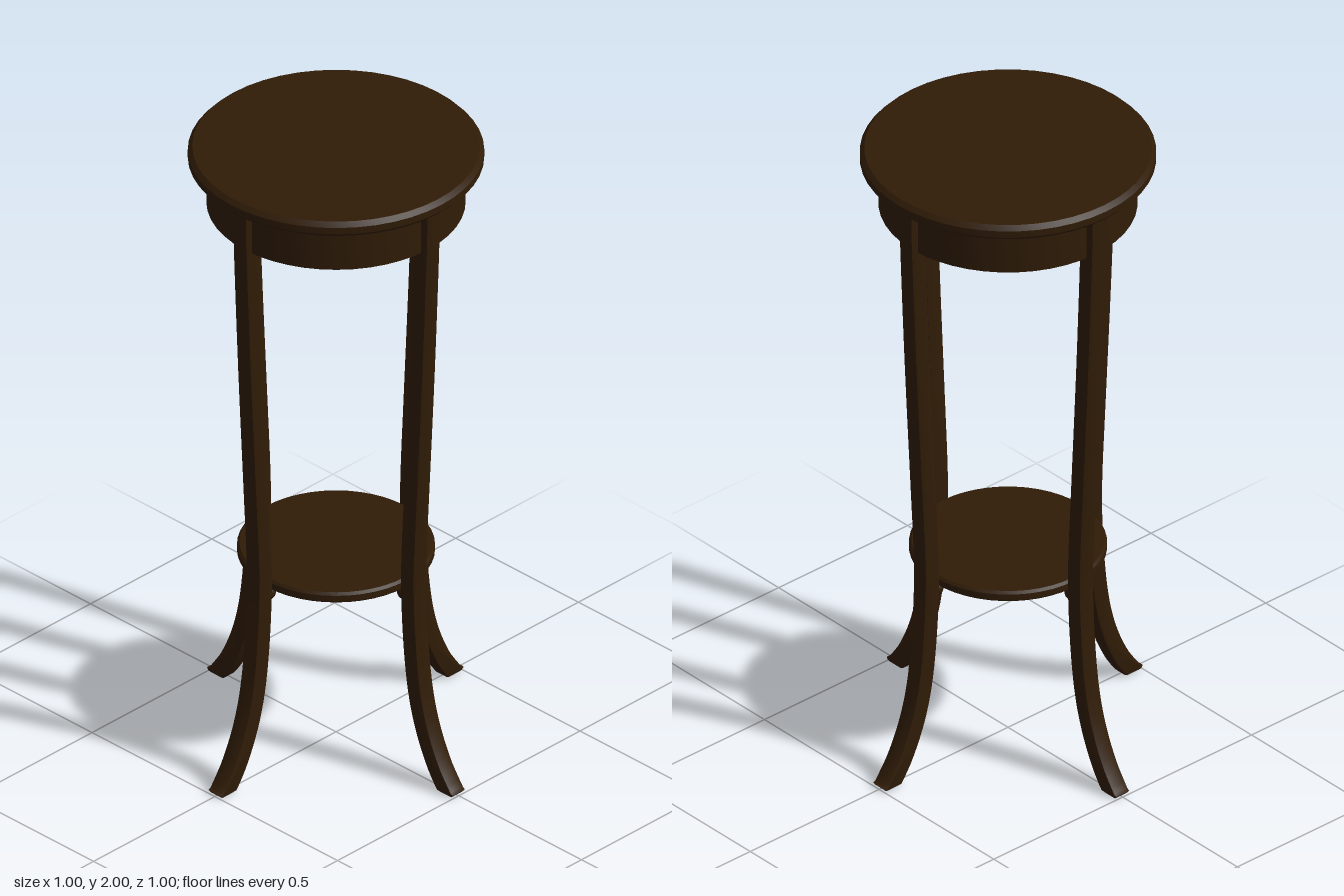
import * as THREE from 'three';
import { toCreasedNormals } from 'three/addons/utils/BufferGeometryUtils.js';

const wood = new THREE.MeshStandardMaterial({ color: 0x301c06 });
wood.name = 'dark wood';
const pad = new THREE.MeshStandardMaterial({ color: 0x6a7078 });
pad.name = 'grey foot pad';

function add(parent, name, geometry, material, x = 0, y = 0, z = 0) {
  const mesh = new THREE.Mesh(geometry, material);
  mesh.name = name;
  mesh.position.set(x, y, z);
  parent.add(mesh);
  return mesh;
}

// Turned part from [radius, height] pairs listed from bottom to top
function turned(points) {
  const profile = points.map(([r, y]) => new THREE.Vector2(r, y));
  return toCreasedNormals(new THREE.LatheGeometry(profile, 48), 0.6);
}

// Sabre leg: a curved side profile extruded to a square section with eased edges
function legGeometry() {
  const curve = new THREE.SplineCurve([
    [0.469, 0.003], [0.418, 0.08], [0.374, 0.18], [0.345, 0.29], [0.327, 0.43], [0.317, 0.6],
    [0.318, 0.75], [0.331, 1.0], [0.352, 1.4], [0.369, 1.8], [0.373, 1.957],
  ].map(([x, y]) => new THREE.Vector2(x, y)));
  const inner = [], outer = [];
  for (let i = 0; i <= 40; i++) {
    const p = curve.getPoint(i / 40);
    const half = 0.0275 / curve.getTangent(i / 40).y; // even thickness along the bend
    inner.push(new THREE.Vector2(p.x - half, p.y));
    outer.unshift(new THREE.Vector2(p.x + half, p.y));
  }
  // slightly raised toe
  outer[outer.length - 1].y = 0.012;
  outer.push(new THREE.Vector2(0.494, 0.003));
  const width = 0.055, bevel = 0.006;
  const geometry = new THREE.ExtrudeGeometry(new THREE.Shape([...outer, ...inner]), {
    depth: width - 2 * bevel, bevelEnabled: true, bevelThickness: bevel,
    bevelSize: bevel, bevelOffset: -bevel, bevelSegments: 2,
  });
  geometry.translate(0, 0, -width / 2 + bevel);
  return toCreasedNormals(geometry, 0.6);
}

export function createModel() {
  const model = new THREE.Group();
  model.name = 'plant stand';

  // Round top with chamfered rim
  add(model, 'tableTop', turned([
    [0, 1.953], [0.42, 1.953], [0.43, 1.964], [0.43, 1.986], [0.417, 2.0], [0, 2.0],
  ]), wood);

  // Apron drum below the top, closed underneath
  add(model, 'apron', turned([[0, 1.81], [0.376, 1.81], [0.376, 1.957]]), wood);

  // Lower shelf
  add(model, 'shelf', turned([
    [0, 0.616], [0.281, 0.616], [0.287, 0.622], [0.287, 0.642], [0.28, 0.65], [0, 0.65],
  ]), wood);

  // Four legs, each with a shelf support and a foot pad
  const leg = legGeometry();
  const knob = new THREE.SphereGeometry(0.026, 16, 12);
  const padGeometry = new THREE.BoxGeometry(0.048, 0.004, 0.044);
  for (let i = 0; i < 4; i++) {
    const assembly = new THREE.Group();
    assembly.name = 'legAssembly' + (i + 1);
    assembly.rotation.y = i * Math.PI / 2;
    add(assembly, 'leg', leg, wood);
    add(assembly, 'shelfSupport', knob, wood, 0.284, 0.605, 0);
    add(assembly, 'footPad', padGeometry, pad, 0.467, 0.002, 0);
    model.add(assembly);
  }
  return model;
}
